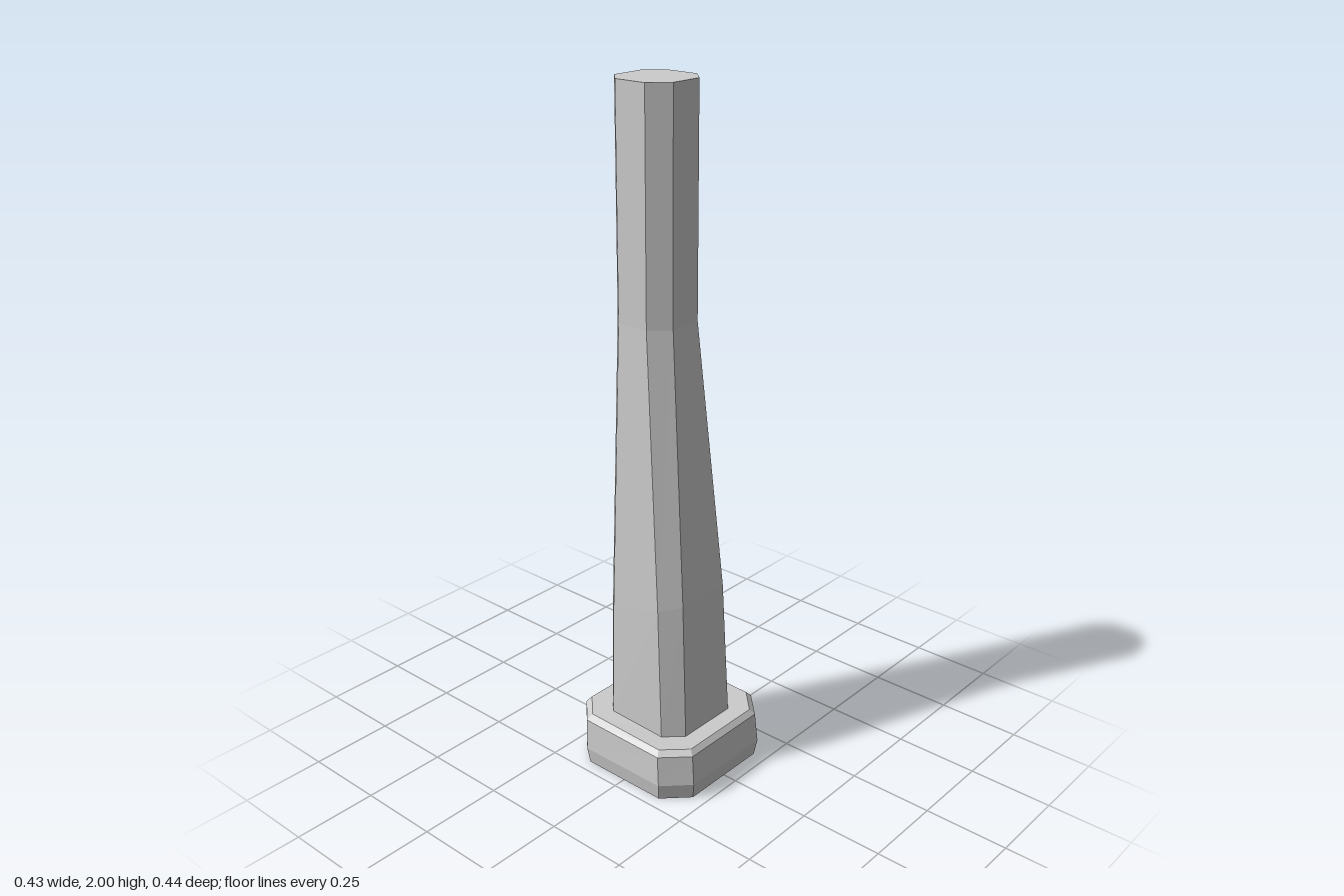
import * as THREE from 'three';

// Chamfered rectangle with eight corners; its height runs from yL at x0 to yR at x1
function octagon(x0, x1, z, c, yL, yR = yL) {
  const outline = [
    [x1, z - c], [x1, c - z], [x1 - c, -z], [x0 + c, -z],
    [x0, c - z], [x0, z - c], [x0 + c, z], [x1 - c, z],
  ];
  return outline.map(([x, pz]) =>
    [x, yL + (yR - yL) * (x - x0) / (x1 - x0), pz]);
}

// Joins successive sections with flat faces, optionally closing the top
function loft(name, sections, material, capTop) {
  const positions = [];
  const tri = (a, b, c) => positions.push(...a, ...b, ...c);
  for (let s = 0; s < sections.length - 1; s++) {
    const low = sections[s], high = sections[s + 1];
    for (let i = 0; i < 8; i++) {
      const j = (i + 1) % 8;
      tri(low[i], low[j], high[j]);
      tri(low[i], high[j], high[i]);
    }
  }
  if (capTop) {
    const top = sections[sections.length - 1];
    for (let i = 1; i < 7; i++) tri(top[0], top[i], top[i + 1]);
  }
  const geometry = new THREE.BufferGeometry();
  geometry.setAttribute('position', new THREE.Float32BufferAttribute(positions, 3));
  geometry.computeVertexNormals();
  const mesh = new THREE.Mesh(geometry, material);
  mesh.name = name;
  return mesh;
}

export function createModel() {
  const material = new THREE.MeshStandardMaterial({
    color: 0xcccccc, flatShading: true, side: THREE.DoubleSide,
  });
  const group = new THREE.Group();
  group.name = 'post';

  // Where the shaft meets the base
  const joint = octagon(-0.15, 0.14, 0.147, 0.05, 0.165, 0.155);

  // Hollow base, open underneath, with a bevelled rim around the shaft
  group.add(loft('base', [
    octagon(-0.207, 0.207, 0.212, 0.07, 0),
    octagon(-0.213, 0.215, 0.22, 0.072, 0.05),
    octagon(-0.215, 0.206, 0.215, 0.071, 0.147, 0.14),
    octagon(-0.2, 0.192, 0.2, 0.065, 0.165, 0.155),
    joint,
  ], material, false));

  // Shaft, straight on one side and tapering on the others
  group.add(loft('shaft', [
    joint,
    octagon(-0.15, 0.12, 0.138, 0.05, 0.5, 0.57),
    octagon(-0.15, 0.05, 0.1, 0.05, 1.36),
    octagon(-0.15, 0.05, 0.1, 0.05, 2),
  ], material, true));

  return group;
}
